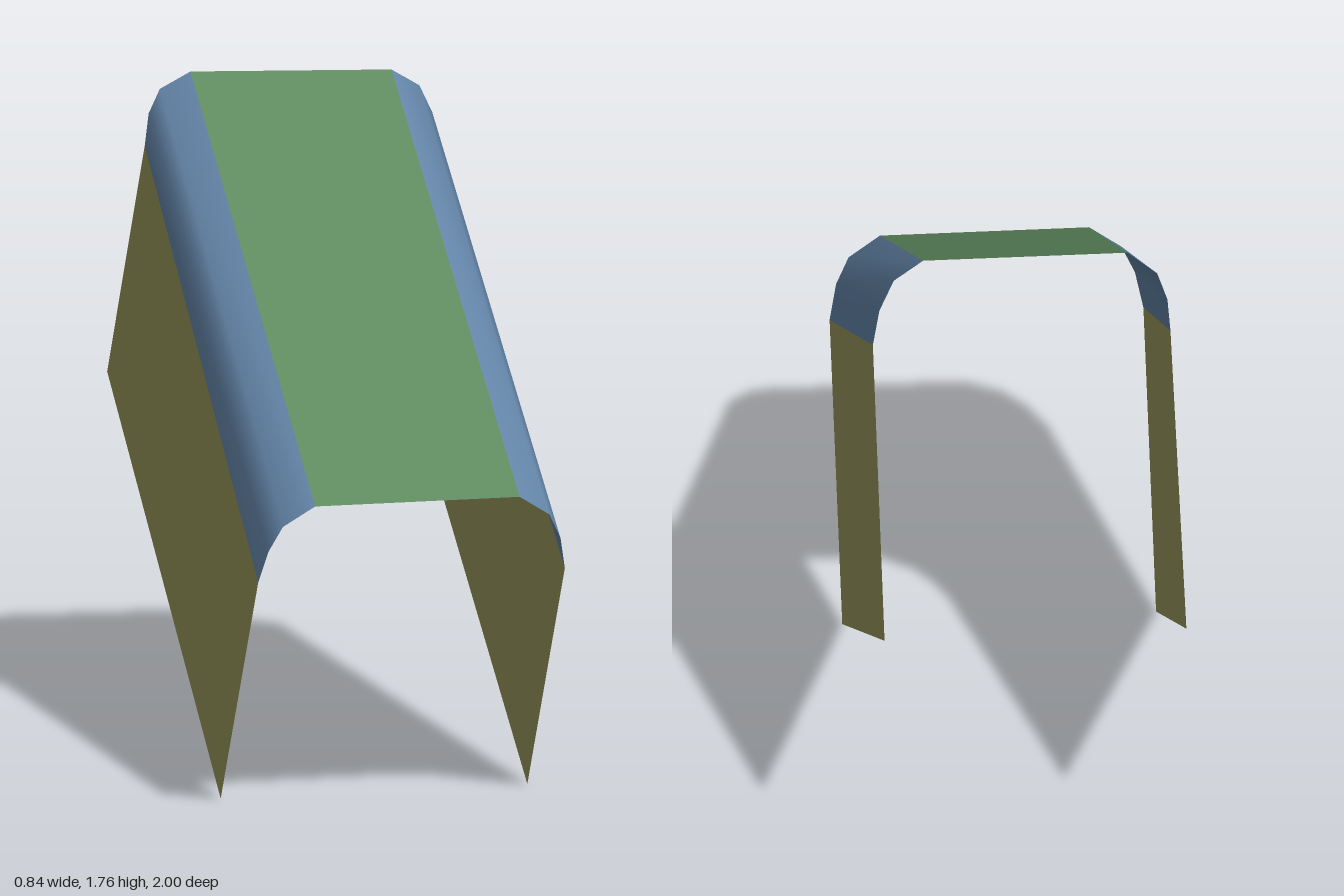
import * as THREE from 'three';

// Cross-sections of the folded sheet, listed from its right edge to its left edge
const front = [
  [-0.42, 0, 0.485],
  [-0.42, 0.68, 0.93], [-0.4, 0.77, 0.965], [-0.365, 0.84, 0.985], [-0.28, 0.895, 1],
  [0.28, 0.895, 1], [0.365, 0.84, 0.985], [0.4, 0.77, 0.965], [0.42, 0.68, 0.93],
  [0.42, 0, 0.485],
];
const back = [
  [-0.388, 0.86, -1],
  [-0.375, 1.555, -0.61], [-0.368, 1.645, -0.595], [-0.342, 1.715, -0.575], [-0.265, 1.765, -0.545],
  [0.28, 1.75, -0.52], [0.36, 1.7, -0.535], [0.4, 1.62, -0.555], [0.42, 1.535, -0.59],
  [0.42, 0.86, -1],
];

// Lofts the span of the sheet between two section points, front edge to back edge
function sheetPart(name, from, to, color) {
  const f = front.slice(from, to + 1);
  const b = back.slice(from, to + 1);
  const n = f.length;
  const index = [];
  for (let i = 0; i < n - 1; i++) {
    index.push(i, i + 1, n + i, i + 1, n + i + 1, n + i);
  }
  const geometry = new THREE.BufferGeometry();
  geometry.setAttribute('position', new THREE.Float32BufferAttribute([...f, ...b].flat(), 3));
  geometry.setIndex(index);
  geometry.computeVertexNormals();
  const material = new THREE.MeshStandardMaterial({ color, side: THREE.DoubleSide });
  const mesh = new THREE.Mesh(geometry, material);
  mesh.name = name;
  return mesh;
}

export function createModel() {
  const group = new THREE.Group();
  group.name = 'foldedSheet';
  const olive = 0xa0a062, blue = 0x6688ac, green = 0x5f895f;
  group.add(
    sheetPart('rightFlap', 0, 1, olive),
    sheetPart('rightBend', 1, 4, blue),
    sheetPart('topPanel', 4, 5, green),
    sheetPart('leftBend', 5, 8, blue),
    sheetPart('leftFlap', 8, 9, olive),
  );
  return group;
}
